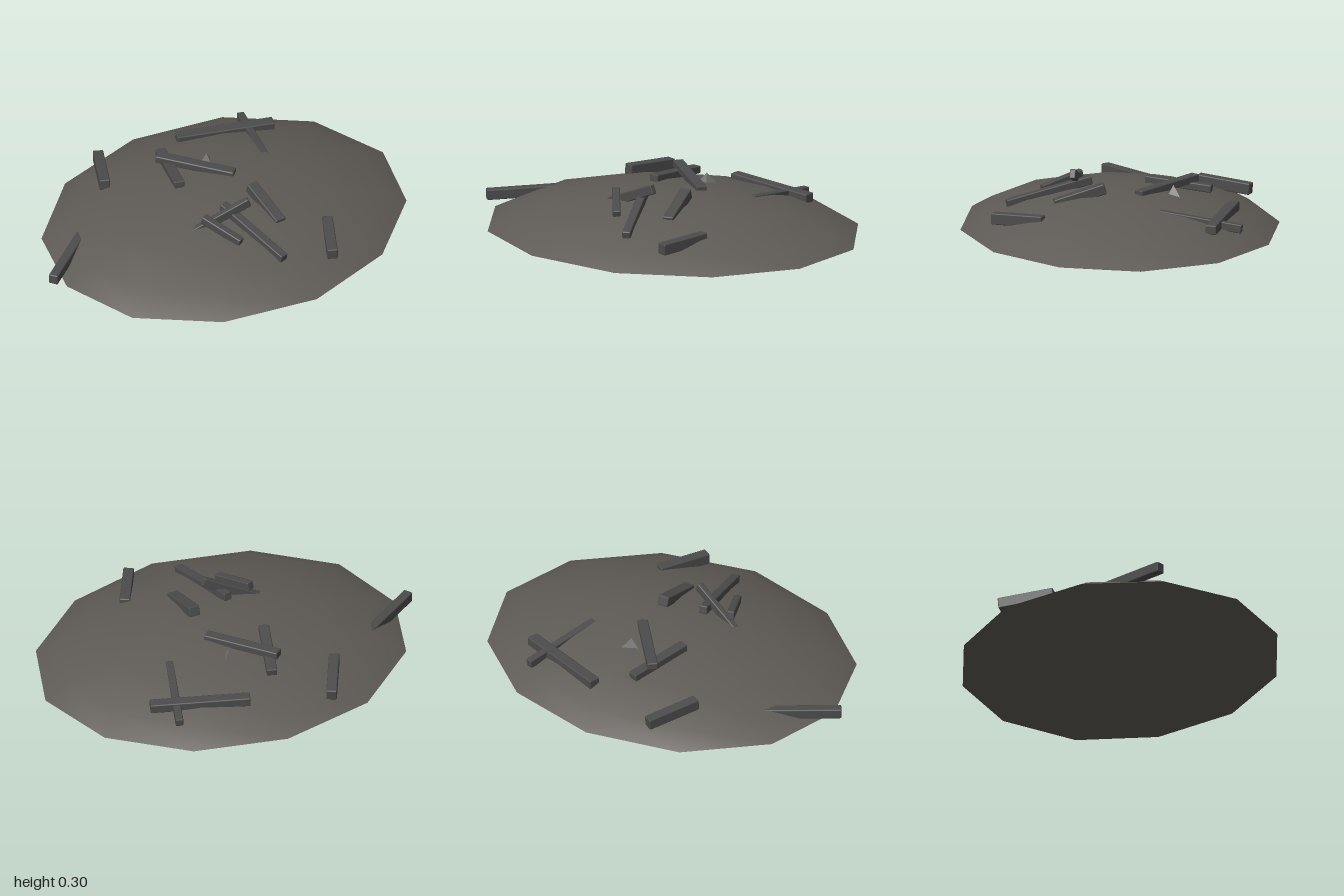
import * as THREE from 'three';
import { RoundedBoxGeometry } from 'three/addons/geometries/RoundedBoxGeometry.js';

const groundMat = new THREE.MeshStandardMaterial({ color: 0x5e5a55 });
const beamMat = new THREE.MeshStandardMaterial({ color: 0x4c4c4c });
const chipMat = new THREE.MeshStandardMaterial({ color: 0x777777, flatShading: true });

// Twelve-sided outline of the mound, as x, z
const OUTLINE = [
  [1, -0.3], [0.99, 0.13], [0.73, 0.53], [0.29, 0.79], [-0.23, 0.83], [-0.67, 0.65],
  [-0.91, 0.29], [-0.91, -0.14], [-0.65, -0.55], [-0.2, -0.8], [0.3, -0.84], [0.74, -0.66],
];
const CENTRE_X = 0.04;
// Rings from top to rim: share of the radius, height
const RINGS = [[0.3, 0.186], [0.59, 0.142], [0.86, 0.07], [1, 0]];

function moundGeometry() {
  const n = OUTLINE.length;
  const pos = [CENTRE_X, 0.2, 0];
  const index = [];
  for (const [s, y] of RINGS) {
    for (const [x, z] of OUTLINE) pos.push(CENTRE_X + (x - CENTRE_X) * s, y, z * s);
  }
  for (let j = 0; j < n; j++) {
    const k = (j + 1) % n;
    index.push(0, 1 + k, 1 + j);
    for (let r = 0; r < RINGS.length - 1; r++) {
      const a = 1 + r * n, b = a + n;
      index.push(a + j, a + k, b + j, a + k, b + k, b + j);
    }
  }
  const geo = new THREE.BufferGeometry();
  geo.setAttribute('position', new THREE.Float32BufferAttribute(pos, 3));
  geo.setIndex(index);
  geo.computeVertexNormals();
  return geo;
}

// Beam with worn edges between two end points
function beam(name, from, to, width, height) {
  const a = new THREE.Vector3(...from), b = new THREE.Vector3(...to);
  const geo = new RoundedBoxGeometry(width, height, a.distanceTo(b), 1, 0.006);
  const mesh = new THREE.Mesh(geo, beamMat);
  mesh.name = name;
  mesh.position.copy(a).add(b).multiplyScalar(0.5);
  mesh.lookAt(b);
  return mesh;
}

export function createModel() {
  const model = new THREE.Group();
  model.name = 'debrisMound';

  // Ash mound and its flat underside
  const mound = new THREE.Mesh(moundGeometry(), groundMat);
  mound.name = 'mound';
  const shape = new THREE.Shape(OUTLINE.map(([x, z]) => new THREE.Vector2(x, z)));
  const base = new THREE.Mesh(new THREE.ShapeGeometry(shape).rotateX(Math.PI / 2), groundMat);
  base.name = 'moundBase';
  model.add(mound, base);

  // Half-buried beams: name, two ends, width, height
  const beams = [
    ['rightEdgeBeam', [-0.98, 0.048, 0.275], [-0.72, 0.052, -0.04], 0.05, 0.055],
    ['backRightBeam', [-0.455, 0.105, -0.6], [-0.51, 0.13, -0.31], 0.055, 0.06],
    ['frontLeftBeam', [0.44, 0.11, 0.59], [0.5, 0.118, 0.31], 0.055, 0.06],
    ['longLeaningBeam', [-0.02, 0.225, 0.16], [0.185, 0.125, 0.565], 0.045, 0.045],
    ['raisedBeam', [-0.2, 0.15, 0.235], [0.1, 0.28, 0.235], 0.032, 0.05],
    ['shortLeaningBeam', [-0.15, 0.225, 0.235], [0, 0.165, 0.415], 0.04, 0.045],
    ['tiltedBeam', [0.17, 0.23, 0.05], [0.25, 0.15, 0.3], 0.06, 0.055],
    ['lowerCrossBeam', [-0.165, 0.17, -0.45], [-0.17, 0.205, -0.1], 0.055, 0.04],
    ['upperCrossBeam', [-0.215, 0.215, -0.355], [0.135, 0.195, -0.12], 0.055, 0.04],
    ['wideBackBeam', [-0.03, 0.12, -0.592], [0.49, 0.11, -0.57], 0.06, 0.05],
    ['narrowBackBeam', [0.355, 0.092, -0.71], [0.348, 0.148, -0.27], 0.04, 0.045],
  ];
  for (const args of beams) model.add(beam(...args));

  // Small stone chip beside the crossed beams
  const chip = new THREE.Mesh(new THREE.ConeGeometry(0.085, 0.09, 3), chipMat);
  chip.name = 'stoneChip';
  chip.position.set(0.035, 0.185, -0.285);
  chip.rotation.y = 0.6;
  chip.scale.z = 0.6;
  model.add(chip);

  return model;
}
